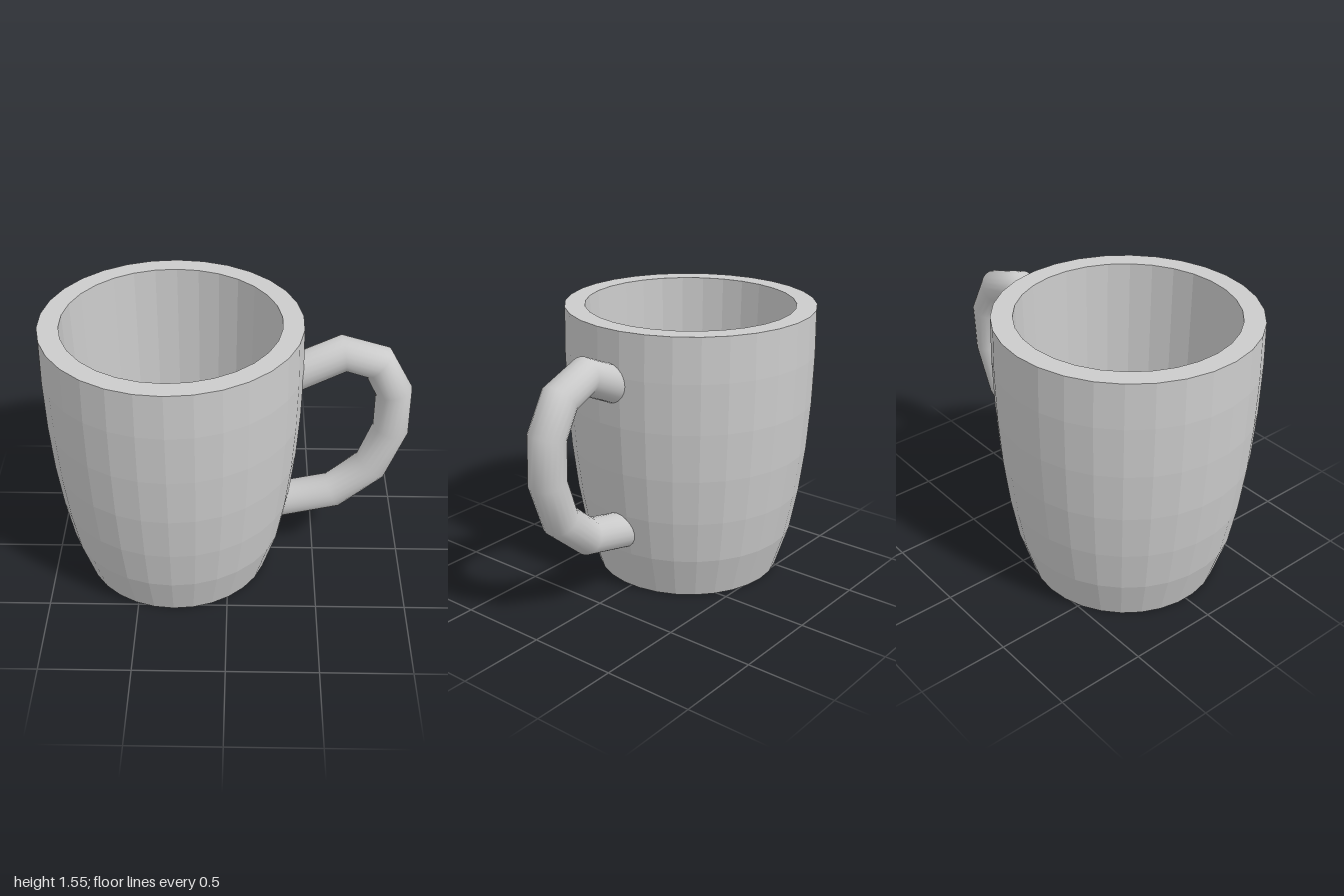
import * as THREE from 'three';

// Straight-segment path that visits every point at even parameter steps
class Polyline extends THREE.Curve {
  constructor(points) {
    super();
    this.points = points;
  }
  getPoint(t, target = new THREE.Vector3()) {
    const last = this.points.length - 1;
    const i = Math.min(Math.floor(t * last), last - 1);
    return target.lerpVectors(this.points[i], this.points[i + 1], t * last - i);
  }
  getUtoTmapping(u) {
    return u;
  }
}

export function createModel() {
  const model = new THREE.Group();
  model.name = 'mug';

  // Cup: outer wall, rim, inner wall and floor in one faceted lathe
  const profile = [
    [0, 0], [0.527, 0], [0.604, 0.245], [0.648, 0.49], [0.679, 0.75],
    [0.697, 1.02], [0.704, 1.3], [0.7, 1.55],
    [0.587, 1.55], [0.557, 0.25], [0, 0.25],
  ].map(([r, y]) => new THREE.Vector2(r, y));
  const cup = new THREE.Mesh(
    new THREE.LatheGeometry(profile, 30),
    new THREE.MeshStandardMaterial({ color: 0xcccccc, flatShading: true }),
  );
  cup.name = 'cup';
  cup.position.x = -0.3;
  model.add(cup);

  // Handle: round tube with a few coarse bends, leaning slightly, ends set in the wall
  const path = [
    [0.33, 1.23, 0], [0.615, 1.355, -0.025], [0.805, 1.29, -0.038],
    [0.9, 1.115, -0.034], [0.9, 0.87, -0.024], [0.805, 0.625, -0.013],
    [0.595, 0.448, -0.002], [0.28, 0.375, 0],
  ].map((p) => new THREE.Vector3(...p));
  const handle = new THREE.Mesh(
    new THREE.TubeGeometry(new Polyline(path), path.length - 1, 0.101, 20),
    new THREE.MeshStandardMaterial({ color: 0xcccccc }),
  );
  handle.name = 'handle';
  model.add(handle);

  return model;
}
